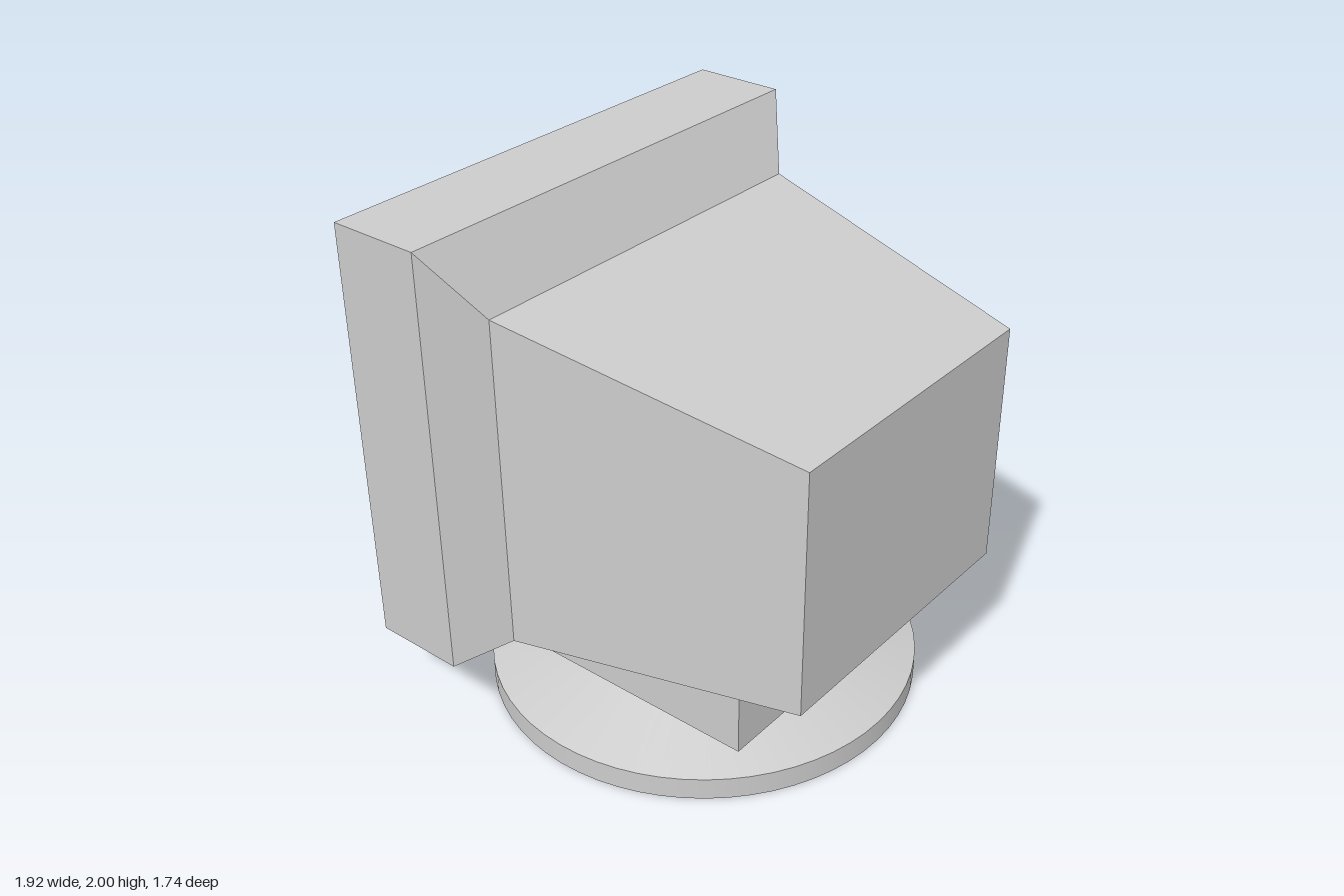
import * as THREE from 'three';

const material = new THREE.MeshStandardMaterial({ color: 0xcccccc });
const flat = new THREE.MeshStandardMaterial({ color: 0xcccccc, flatShading: true });

// Rectangular cross-section at depth z
const ring = (halfW, y0, y1, z) => [
  [-halfW, y0, z], [halfW, y0, z], [halfW, y1, z], [-halfW, y1, z],
];

function quads(list) {
  const pos = [];
  for (const [a, b, c, d] of list) pos.push(...a, ...b, ...c, ...a, ...c, ...d);
  const geo = new THREE.BufferGeometry();
  geo.setAttribute('position', new THREE.Float32BufferAttribute(pos, 3));
  geo.computeVertexNormals();
  return geo;
}

// Joins consecutive rings with side walls
function loft(rings) {
  const faces = [];
  for (let r = 0; r < rings.length - 1; r++) {
    for (let i = 0; i < 4; i++) {
      const j = (i + 1) % 4;
      faces.push([rings[r][i], rings[r][j], rings[r + 1][j], rings[r + 1][i]]);
    }
  }
  return faces;
}

export function createModel() {
  const group = new THREE.Group();
  const add = (name, geo, mat, x = 0, y = 0, z = 0) => {
    const mesh = new THREE.Mesh(geo, mat);
    mesh.name = name;
    mesh.position.set(x, y, z);
    group.add(mesh);
  };

  // Screen pane, set back in the bezel and facing -z
  const pane = ring(0.795, 0.52, 1.79, -0.72);
  add('screen', quads([[...pane].reverse()]), flat);

  // Bezel with recess
  const bezelBack = ring(0.96, 0.325, 2, -0.44);
  add('bezel', quads(loft([
    pane,
    ring(0.795, 0.52, 1.79, -0.81),
    ring(0.96, 0.325, 2, -0.81),
    bezelBack,
  ])), flat);

  // Tapered tube housing
  const tail = ring(0.6, 0.555, 1.52, 0.87);
  add('housing', quads([
    ...loft([bezelBack, ring(0.79, 0.415, 1.74, -0.29), tail]),
    tail,
  ]), flat);

  // Block under the housing
  add('neckBlock', new THREE.BoxGeometry(1.2, 0.3, 1.27), flat, 0, 0.4, -0.025);

  // Swivel stand: sloped top over a round plate
  add('standCone', new THREE.CylinderGeometry(0.36, 0.84, 0.16, 64, 1, true), material, 0, 0.17, -0.03);
  add('standPlate', new THREE.CylinderGeometry(0.84, 0.84, 0.09, 64), material, 0, 0.045, -0.03);

  return group;
}
